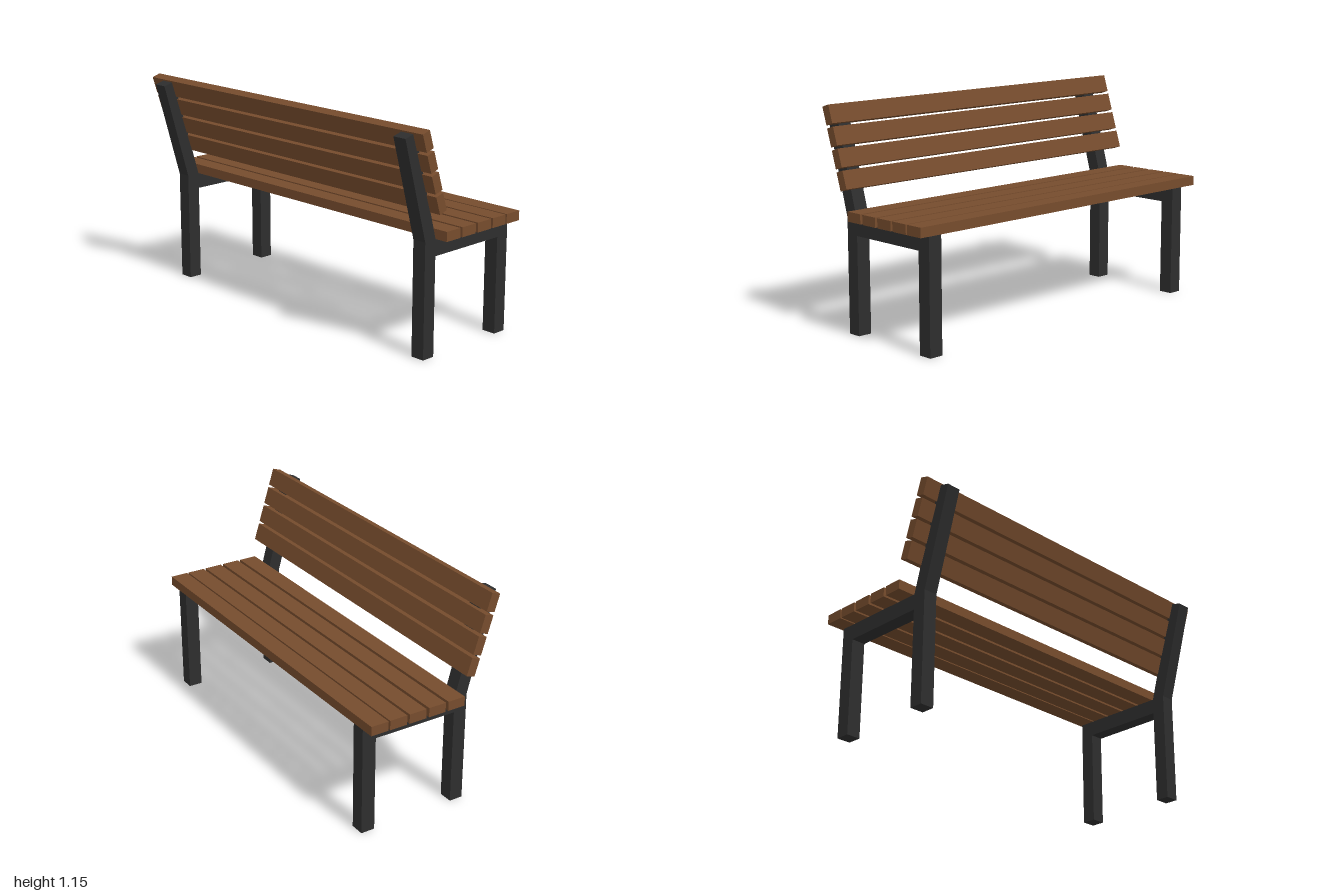
import * as THREE from 'three';

const wood = new THREE.MeshStandardMaterial({ color: 0x764c2d });
wood.name = 'brown wood';
const metal = new THREE.MeshStandardMaterial({ color: 0x2e2e2e });
metal.name = 'dark metal';

// Side frame outline: both legs, the seat beam and the leaning back post
const frameOutline = [
  [-0.238, 0], [-0.165, 0], [-0.165, 0.51], [0.295, 0.51], [0.295, 0], [0.37, 0],
  [0.37, 0.592], [-0.165, 0.592], [-0.318, 1.135], [-0.386, 1.116], [-0.238, 0.592],
];

function sideFrame(name, zCentre) {
  const depth = 0.076;
  const shape = new THREE.Shape(frameOutline.map(([x, y]) => new THREE.Vector2(x, y)));
  const geometry = new THREE.ExtrudeGeometry(shape, { depth, bevelEnabled: false });
  const mesh = new THREE.Mesh(geometry, metal);
  mesh.position.z = zCentre - depth / 2;
  mesh.name = name;
  return mesh;
}

function slat(name, width, height, x, y, tilt = 0) {
  const mesh = new THREE.Mesh(new THREE.BoxGeometry(width, height, 2), wood);
  mesh.position.set(x, y, 0);
  mesh.rotation.z = tilt;
  mesh.name = name;
  return mesh;
}

export function createModel() {
  const bench = new THREE.Group();
  bench.name = 'bench';

  bench.add(sideFrame('frontFrame', 0.9), sideFrame('backFrame', -0.872));

  // Seat slats
  const seat = new THREE.Group();
  seat.name = 'seat';
  [-0.108, 0.005, 0.118, 0.229, 0.335].forEach((x, i) =>
    seat.add(slat(`seatSlat${i + 1}`, 0.097, 0.05, x, 0.617)));

  // Backrest slats, stepping up along the leaning posts
  const backrest = new THREE.Group();
  backrest.name = 'backrest';
  for (let i = 0; i < 4; i++) {
    backrest.add(slat(`backSlat${i + 1}`, 0.049, 0.094, -0.199 - 0.0335 * i, 0.787 + 0.1047 * i, 0.31));
  }

  bench.add(seat, backrest);
  return bench;
}
